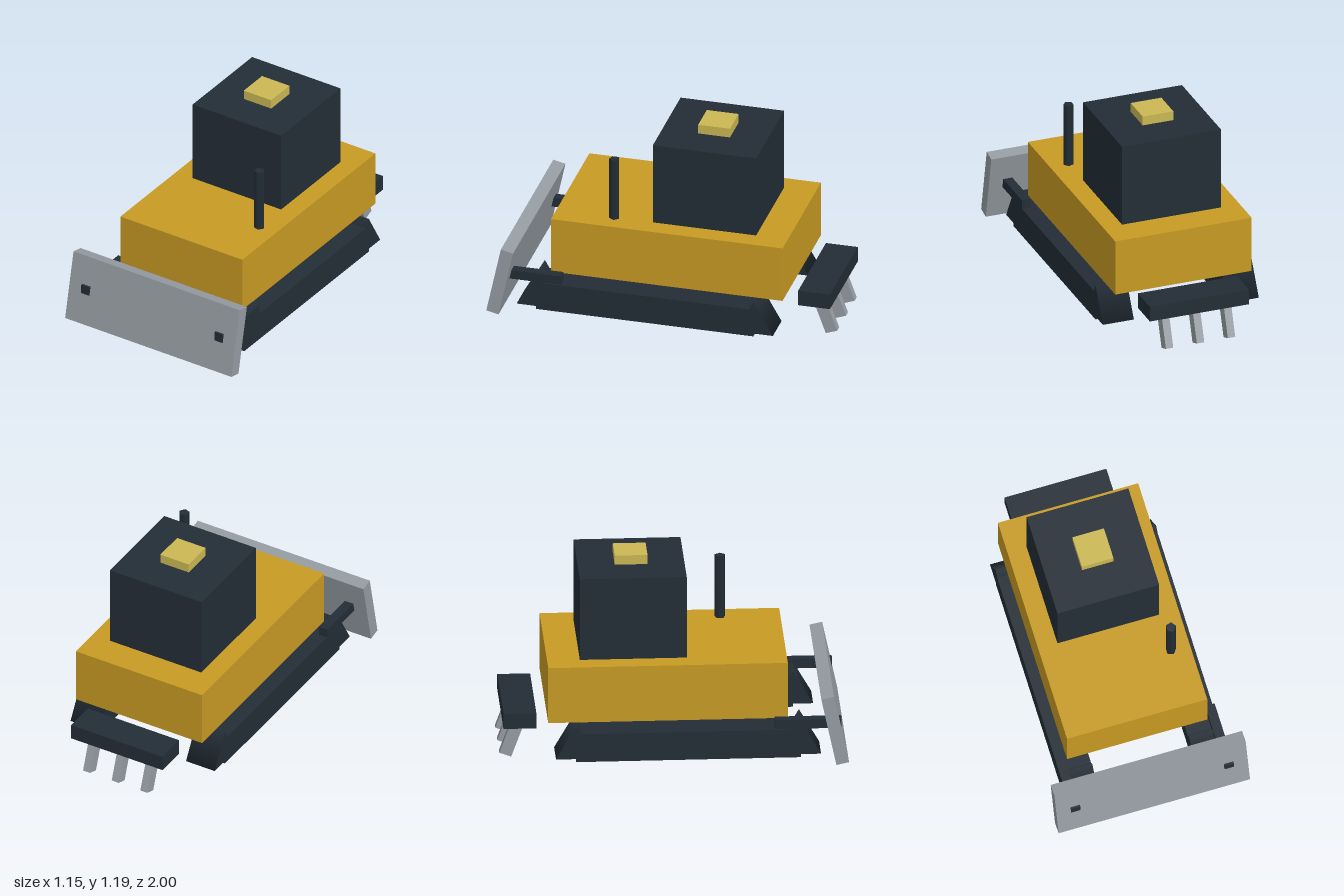
import * as THREE from 'three';

const paint = (name, color) => {
  const m = new THREE.MeshStandardMaterial({ color });
  m.name = name;
  return m;
};

export function createModel() {
  const yellow = paint('bodyYellow', 0xc79a23);
  const dark = paint('darkSteel', 0x232d36);
  const grey = paint('bareSteel', 0x949ba1);
  const amber = paint('beaconAmber', 0xcab753);

  const model = new THREE.Group();
  model.name = 'bulldozer';

  const add = (name, geometry, material, [x, y, z], parent = model) => {
    const mesh = new THREE.Mesh(geometry, material);
    mesh.name = name;
    mesh.position.set(x, y, z);
    parent.add(mesh);
    return mesh;
  };
  const box = (name, size, material, position, parent) =>
    add(name, new THREE.BoxGeometry(...size), material, position, parent);

  // Hull, cab and roof beacon
  box('body', [0.845, 0.342, 1.385], yellow, [0, 0.46, -0.037]);
  box('cab', [0.613, 0.502, 0.618], dark, [0, 0.882, -0.231]);
  box('beacon', [0.19, 0.057, 0.19], amber, [0, 1.161, -0.231]);

  // Five-sided exhaust stack on the left of the hood
  add('exhaust', new THREE.CylinderGeometry(0.031, 0.031, 0.385, 5, 1, false, Math.PI / 2),
    dark, [0.308, 0.824, 0.306]);

  // Tracks with three-sided end rollers, and the arms pushing the blade
  for (const [side, s] of [['left', 1], ['right', -1]]) {
    const track = new THREE.Group();
    track.name = side + 'Track';
    model.add(track);
    box('trackBelt', [0.192, 0.173, 1.298], dark, [s * 0.387, 0.153, 0.078], track);
    for (const [end, z] of [['front', 0.727], ['rear', -0.571]]) {
      const roller = add(end + 'Roller',
        new THREE.CylinderGeometry(0.135, 0.135, 0.192, 3, 1, false, Math.PI / 2),
        dark, [s * 0.387, 0.153, z], track);
      roller.rotation.z = Math.PI / 2;
    }
    box(side + 'PushArm', [0.056, 0.056, 0.385], dark, [s * 0.462, 0.275, 0.77]);
  }

  // Blade, leaning back at the top
  box('blade', [1.153, 0.418, 0.075], grey, [0, 0.263, 0.92]).rotation.x = -0.21;

  // Rear ripper: crossbeam and three slanted teeth
  const ripper = new THREE.Group();
  ripper.name = 'ripper';
  model.add(ripper);
  box('ripperBeam', [0.613, 0.094, 0.19], dark, [0, 0.258, -0.886], ripper);
  for (const x of [-0.192, 0, 0.192]) {
    box('ripperTooth', [0.046, 0.26, 0.073], grey, [x, 0.136, -0.921], ripper).rotation.x = 0.35;
  }

  return model;
}
